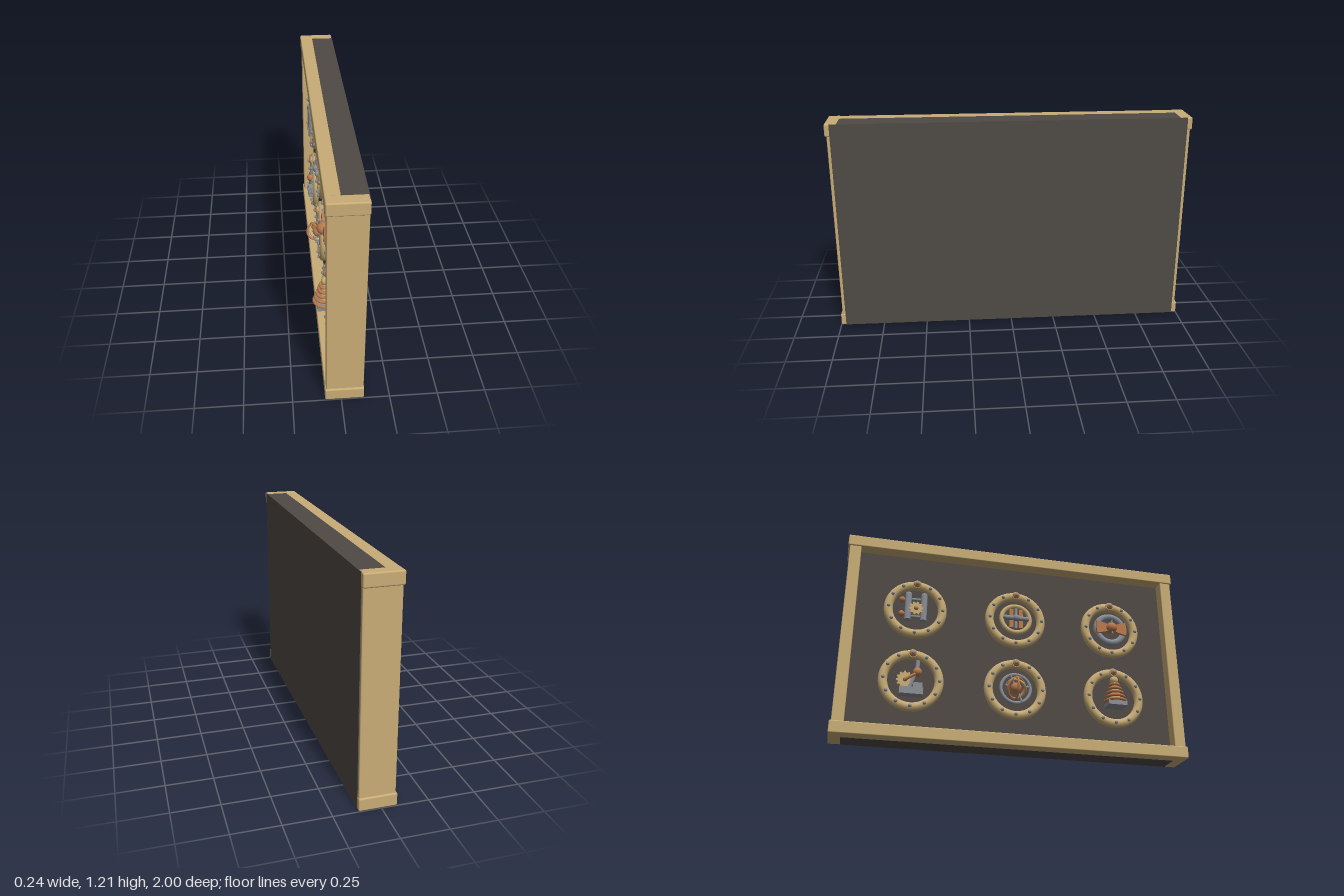
import * as THREE from 'three';
import { RoundedBoxGeometry } from 'three/addons/geometries/RoundedBoxGeometry.js';

const mat = (name, color) => {
  const m = new THREE.MeshStandardMaterial({ color });
  m.name = name;
  return m;
};

export function createModel() {
  const brass = mat('brass', 0xc8ac76);
  const dark = mat('darkPanel', 0x4f4a45);
  const copper = mat('copper', 0xb87a50);
  const steel = mat('steel', 0x8a8e95);

  const model = new THREE.Group();
  model.name = 'wallDisplay';

  const add = (parent, name, geo, material, x = 0, y = 0, z = 0, rx = 0, ry = 0, rz = 0) => {
    const m = new THREE.Mesh(geo, material);
    m.name = name;
    m.position.set(x, y, z);
    m.rotation.set(rx, ry, rz);
    parent.add(m);
    return m;
  };
  const box = (w, h, d) => new THREE.BoxGeometry(w, h, d);
  const ball = r => new THREE.SphereGeometry(r, 20, 14);
  const rod = (r, h, r2 = r) => new THREE.CylinderGeometry(r2, r, h, 16);
  const ring = (R, r) => new THREE.TorusGeometry(R, r, 12, 48);
  const Q = Math.PI / 2;

  // Frame: long rails, end caps and posts
  for (const s of [-1, 1]) {
    const y = 0.6025 + s * 0.5675;
    add(model, s > 0 ? 'topRail' : 'bottomRail', new RoundedBoxGeometry(0.2, 0.067, 1.99, 3, 0.006), brass, 0.017, y, 0);
    for (const e of [-1, 1]) {
      add(model, 'cornerCap', new RoundedBoxGeometry(0.201, 0.07, 0.07, 3, 0.008), brass, 0.0172, y, e * 0.965);
    }
    add(model, 'endPost', new RoundedBoxGeometry(0.192, 1.08, 0.066, 3, 0.006), brass, 0.019, 0.6025, s * 0.957);
  }
  // Backing panel
  add(model, 'backPanel', box(0.1275, 1.2025, 1.945), dark, 0.0541, 0.6025, 0);

  // Toothed wheel facing local +z
  const gearGeo = (r, teeth, depth) => {
    const s = new THREE.Shape();
    for (let i = 0; i < teeth * 4; i++) {
      const a = (i / (teeth * 4)) * Math.PI * 2;
      const q = i % 4 < 2 ? r : r * 0.8;
      s[i ? 'lineTo' : 'moveTo'](Math.cos(a) * q, Math.sin(a) * q);
    }
    const hole = new THREE.Path();
    hole.absarc(0, 0, r * 0.25, 0, Math.PI * 2, true);
    s.holes.push(hole);
    return new THREE.ExtrudeGeometry(s, { depth, bevelEnabled: false });
  };

  // Mechanisms, each built with local +z pointing out of the panel
  const pistons = g => {
    for (const s of [-1, 1]) {
      add(g, 'piston', rod(0.019, 0.16), steel, s * 0.045, 0, 0.035);
      add(g, 'pistonCap', ball(0.019), steel, s * 0.045, 0.08, 0.035);
      add(g, 'crossBar', rod(0.009, 0.12), steel, 0, s * 0.055, 0.03, 0, 0, Q);
      add(g, 'valve', ball(0.018), copper, -0.08, s * 0.045, 0.035);
    }
    add(g, 'gear', gearGeo(0.042, 10, 0.018), brass, 0, -0.01, 0.035);
    add(g, 'gearHub', ball(0.014), copper, 0, -0.01, 0.05);
  };

  const valveWheel = g => {
    add(g, 'innerRing', ring(0.085, 0.014), brass, 0, 0, 0.025);
    for (const s of [-1, 1]) {
      add(g, 'uprightPlate', box(0.024, 0.12, 0.02), copper, s * 0.028, 0, 0.03);
      add(g, 'axleEnd', ball(0.016), steel, s * 0.062, 0, 0.04);
    }
    add(g, 'axle', rod(0.014, 0.12), steel, 0, 0, 0.04, 0, 0, Q);
    add(g, 'spindle', rod(0.01, 0.13), steel, 0, 0, 0.035);
    add(g, 'hub', ball(0.022), steel, 0, 0, 0.042);
  };

  const propeller = g => {
    add(g, 'steelRing', ring(0.085, 0.02), steel, 0, 0, 0.02);
    const blade = new THREE.Shape();
    blade.moveTo(0, -0.018);
    blade.lineTo(0.09, -0.042);
    blade.quadraticCurveTo(0.1, 0, 0.09, 0.042);
    blade.lineTo(0, 0.018);
    const geo = new THREE.ExtrudeGeometry(blade, { depth: 0.014, bevelEnabled: false });
    for (const s of [0, 1]) add(g, 'blade', geo, copper, 0, 0, 0.038, 0, 0, s * Math.PI);
    add(g, 'centreBall', ball(0.034), copper, 0, 0, 0.05);
    for (const s of [-1, 1]) add(g, 'pin', rod(0.005, 0.02), steel, 0, s * 0.034, 0.062);
  };

  const beamEngine = g => {
    add(g, 'base', box(0.13, 0.04, 0.05), steel, 0, -0.075, 0.035);
    add(g, 'boiler', box(0.05, 0.04, 0.04), steel, 0.035, -0.045, 0.035);
    add(g, 'flywheel', gearGeo(0.05, 12, 0.016), brass, -0.035, -0.01, 0.03);
    add(g, 'connectingRod', rod(0.011, 0.14), steel, 0.012, 0.015, 0.04, 0, 0, -0.3);
    add(g, 'crank', rod(0.009, 0.09), copper, -0.005, 0.01, 0.05, 0, 0, -1.0);
    add(g, 'crankBall', ball(0.026), copper, 0.03, 0.04, 0.04);
    add(g, 'chimney', rod(0.012, 0.07), steel, 0.03, 0.075, 0.035);
  };

  const orrery = g => {
    add(g, 'outerHoop', ring(0.085, 0.01), steel, 0, 0, 0.025);
    add(g, 'uprightHoop', ring(0.064, 0.006), copper, 0, 0, 0.036, 0, Q, 0);
    add(g, 'tiltedHoop', ring(0.06, 0.008), copper, 0, 0, 0.035, 0.5, 0.5, 0);
    add(g, 'levelHoop', ring(0.056, 0.007), brass, 0, 0, 0.035, 1.0, -0.4, 0);
    add(g, 'globe', ball(0.032), copper, 0, 0, 0.035);
    add(g, 'axis', rod(0.006, 0.17), steel, 0, 0, 0.035, 0, 0, 0.4);
    for (const s of [-1, 1]) add(g, 'pivot', ball(0.01), steel, s * 0.06, 0, 0.06);
  };

  const coil = g => {
    add(g, 'base', box(0.11, 0.03, 0.085), steel, 0, -0.05, 0.0425);
    add(g, 'core', rod(0.04, 0.13, 0.016), brass, 0, 0.02, 0.04);
    for (let i = 0; i < 5; i++) {
      add(g, 'coilTurn', ring(0.06 - i * 0.0085, 0.0085), copper, 0, -0.033 + i * 0.0255, 0.04, Q);
    }
    add(g, 'topBall', ball(0.025), brass, 0, 0.1, 0.038);
  };

  // Portholes in two rows of three
  const rows = [[0.79, [pistons, valveWheel, propeller]], [0.35, [beamEngine, orrery, coil]]];
  for (const [y, builders] of rows) {
    builders.forEach((build, i) => {
      const g = new THREE.Group();
      g.name = 'porthole';
      g.position.set(-0.01, y, (i - 1) * 0.588);
      g.rotation.y = -Q;
      model.add(g);
      add(g, 'portholeRim', ring(0.155, 0.026), brass, 0, 0, 0.01);
      for (let k = 0; k < 12; k++) {
        const a = (k / 12) * Math.PI * 2;
        if (k !== 3) add(g, 'rivet', new THREE.SphereGeometry(0.01, 10, 8), steel, Math.cos(a) * 0.155, Math.sin(a) * 0.155, 0.036);
      }
      add(g, 'topBoss', ball(0.022), copper, 0, 0.152, 0.032);
      add(g, 'bossCollar', ring(0.021, 0.005), brass, 0, 0.152, 0.036);
      add(g, 'bossStud', ball(0.011), steel, 0, 0.152, 0.05);
      build(g);
    });
  }
  return model;
}
